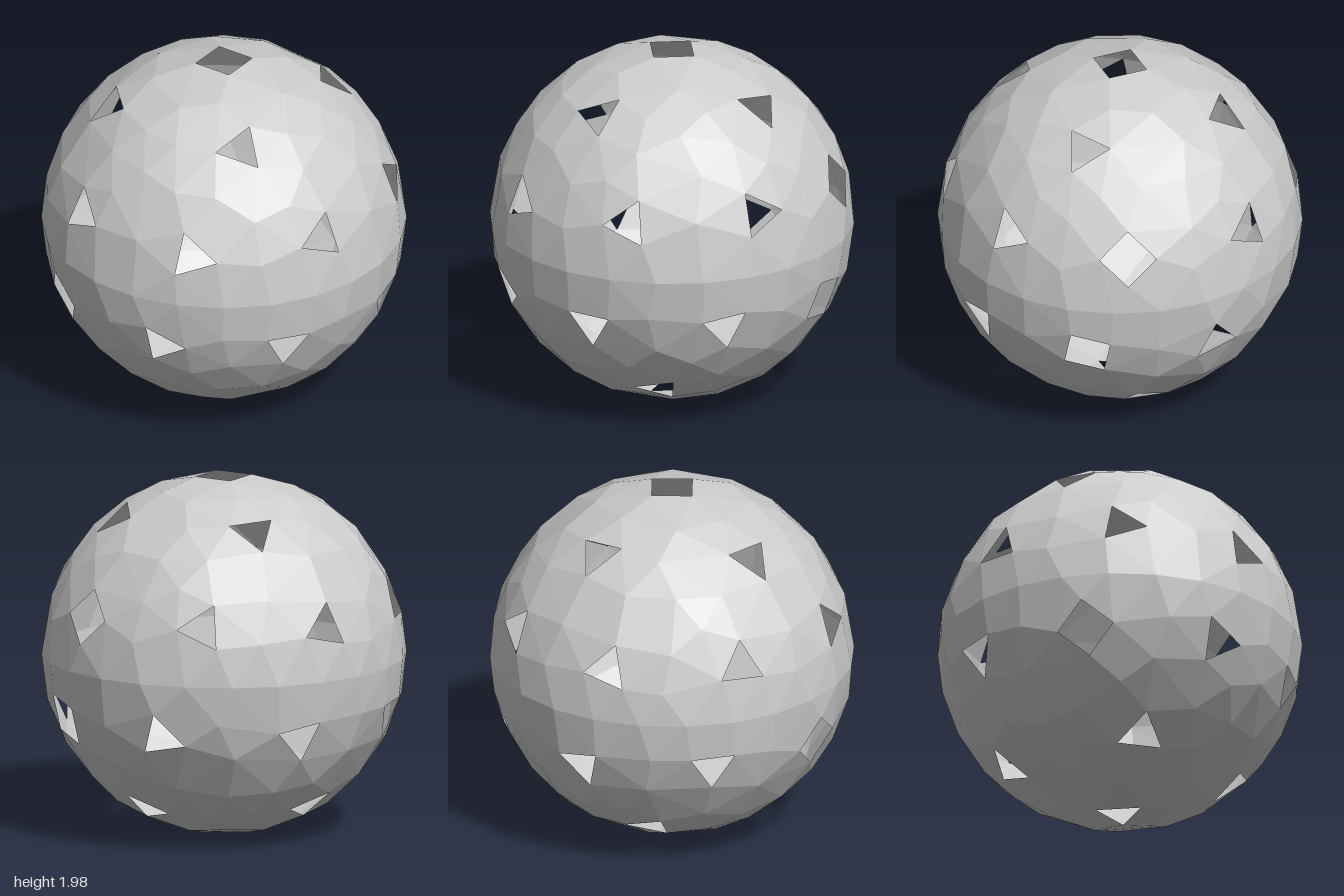
import * as THREE from 'three';
import { ConvexGeometry } from 'three/addons/geometries/ConvexGeometry.js';

const RAD = Math.PI / 180;
const CENTRE_Y = 0.985;
const RIM_COUNT = 24;
const MIN_FACE_DISTANCE = 0.977; // flatter faces than this get a corner added above them

// Openings: [azimuth from +z towards +x, height on the unit sphere, sides, spin], angles in degrees
const UPPER = [
  [0, 1, 4, 35],
  [-35.8, 0.77, 3, 60], [53.9, 0.787, 3, 26], [148.2, 0.794, 3, 75], [238.3, 0.792, 3, 54],
  [-10.9, 0.335, 3, 99], [34.4, 0.287, 3, 99], [80, 0.32, 3, 22], [126, 0.34, 3, 92],
  [169.6, 0.315, 4, 0], [215.1, 0.322, 3, 25], [258.4, 0.295, 3, 14], [304.3, 0.31, 3, 3],
];
const LOWER = [
  [0, -1, 3, 41],
  [0, -0.79, 3, 2], [89, -0.77, 3, 36], [179, -0.79, 3, -22], [270, -0.78, 3, 30],
  [-22.9, -0.295, 4, -5], [23.8, -0.304, 3, 87], [66.5, -0.314, 3, 62], [113, -0.3, 3, 50],
  [156, -0.3, 4, -33], [201, -0.305, 3, -12], [248.7, -0.32, 3, 49], [294, -0.283, 3, 58],
];

// Corners of one regular opening, lying on the unit sphere
function openingCorners([azimuth, height, sides, spin]) {
  const a = azimuth * RAD, lat = Math.asin(height);
  const out = new THREE.Vector3(Math.cos(lat) * Math.sin(a), height, Math.cos(lat) * Math.cos(a));
  const east = new THREE.Vector3(Math.cos(a), 0, -Math.sin(a));
  const north = new THREE.Vector3().crossVectors(out, east);
  const r = sides === 4 ? 0.158 : 0.142;
  return Array.from({ length: sides }, (_, i) => {
    const t = spin * RAD + (i / sides) * Math.PI * 2;
    return out.clone()
      .addScaledVector(east, r * Math.sin(t))
      .addScaledVector(north, r * Math.cos(t))
      .normalize();
  });
}

// Ring of corners along the seam
function rimCorners() {
  return Array.from({ length: RIM_COUNT }, (_, i) => {
    const a = (i / RIM_COUNT) * Math.PI * 2;
    return new THREE.Vector3(Math.sin(a), 0, Math.cos(a));
  });
}

// Hull faces of all corners, minus those that span one opening or the seam
function shellFaces(loops) {
  const corners = loops.flatMap((loop, id) => loop.map((point) => ({ point, id })));
  const loopOf = (p) => corners.reduce((best, c) =>
    c.point.distanceToSquared(p) < best.point.distanceToSquared(p) ? c : best).id;
  const hull = new ConvexGeometry(corners.map((c) => c.point)).getAttribute('position');
  const faces = [];
  for (let i = 0; i < hull.count; i += 3) {
    const [a, b, c] = [0, 1, 2].map((k) => new THREE.Vector3().fromBufferAttribute(hull, i + k));
    const ids = [a, b, c].map(loopOf);
    if (ids[0] === ids[1] && ids[1] === ids[2]) continue;
    faces.push(new THREE.Triangle(a, b, c));
  }
  return faces;
}

// Faceted half shell; wide faces are raised to the sphere one at a time, widest first
function halfShell(openings, side) {
  const loops = [...openings.map(openingCorners), rimCorners()];
  let faces = shellFaces(loops);
  for (let step = 0; step < 80; step++) {
    let widest = null, nearest = MIN_FACE_DISTANCE;
    for (const face of faces) {
      const normal = face.getNormal(new THREE.Vector3());
      const distance = normal.dot(face.a);
      if (distance < nearest && normal.y * side > 0.1) {
        nearest = distance;
        widest = normal;
      }
    }
    if (!widest) break;
    loops.push([widest]);
    faces = shellFaces(loops);
  }
  const geometry = new THREE.BufferGeometry();
  geometry.setFromPoints(faces.flatMap((f) => [f.a, f.b, f.c]));
  geometry.computeVertexNormals();
  return geometry;
}

export function createModel() {
  const group = new THREE.Group();
  group.name = 'perforatedBall';
  const shellGrey = new THREE.MeshStandardMaterial({
    name: 'shell grey', color: 0xcccccc, flatShading: true, side: THREE.DoubleSide,
  });

  // The two halves meet at the seam
  const addHalf = (name, openings, side) => {
    const mesh = new THREE.Mesh(halfShell(openings, side), shellGrey);
    mesh.name = name;
    mesh.position.y = CENTRE_Y;
    group.add(mesh);
  };
  addHalf('upperShell', UPPER, 1);
  addHalf('lowerShell', LOWER, -1);
  return group;
}
